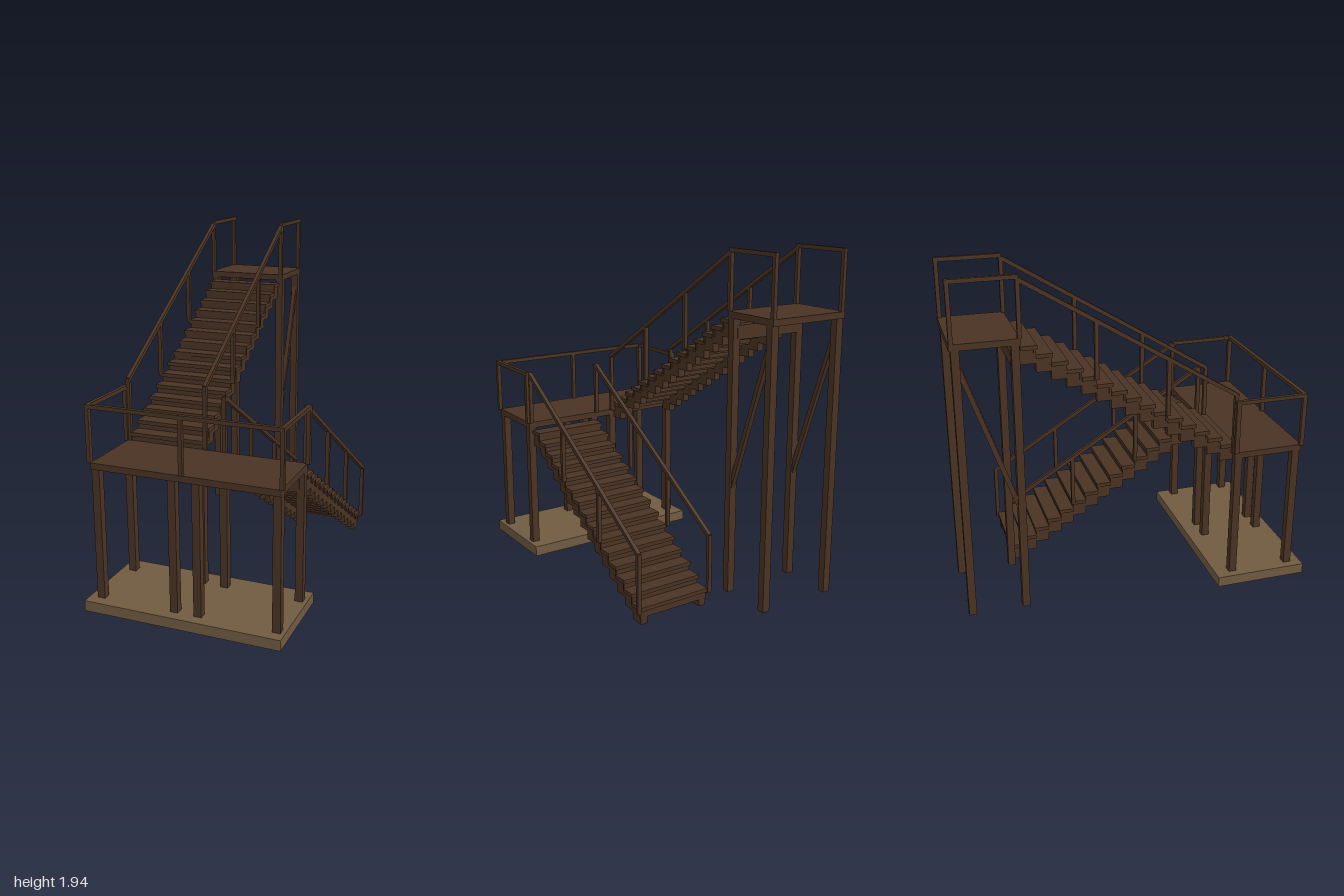
import * as THREE from 'three';

export function createModel() {
  const model = new THREE.Group();
  model.name = 'outdoorStairs';
  const wood = new THREE.MeshStandardMaterial({ color: 0x4a3323 });
  wood.name = 'dark wood';
  const slab = new THREE.MeshStandardMaterial({ color: 0x705b41 });
  slab.name = 'tan footing';

  // Box given by its extents along each axis
  function block(name, x0, x1, y0, y1, z0, z1, parent = model, mat = wood) {
    const mesh = new THREE.Mesh(new THREE.BoxGeometry(x1 - x0, y1 - y0, z1 - z0), mat);
    mesh.position.set((x0 + x1) / 2, (y0 + y1) / 2, (z0 + z1) / 2);
    mesh.name = name;
    parent.add(mesh);
    return mesh;
  }

  // Sloping bar in the y-z plane between two points [y, z]
  function bar(name, x, [ya, za], [yb, zb], t, parent = model) {
    const mesh = new THREE.Mesh(
      new THREE.BoxGeometry(t, t, Math.hypot(yb - ya, zb - za)), wood);
    mesh.position.set(x, (ya + yb) / 2, (za + zb) / 2);
    mesh.rotation.x = -Math.atan2(yb - ya, zb - za);
    mesh.name = name;
    parent.add(mesh);
  }

  const UPPER_X = -0.274, LOWER_X = 0.297;   // centre lines of the two flights
  const RISE = 0.0491, RUN = 0.079, STEPS = 15, TREAD = 0.022;

  // One flight: dir = +1 climbs towards +z, -1 towards -z
  function flight(name, cx, y0, z0, dir) {
    const g = new THREE.Group();
    g.name = name;
    const span = (label, xa, xb, ya, yb, za, zb) =>
      block(label, xa, xb, ya, yb, Math.min(za, zb), Math.max(za, zb), g);
    for (let k = 0; k < STEPS; k++) {
      const top = y0 + k * RISE, za = z0 + dir * k * RUN, zb = za + dir * RUN;
      span('tread', cx - 0.22, cx + 0.22, top - TREAD, top, za - dir * 0.008, zb);
      span('riser', cx - 0.215, cx + 0.215, top - RISE - TREAD / 2, top - TREAD, za, za + dir * 0.012);
      for (const s of [-1, 1]) {
        const xs = cx + s * 0.19;
        span('stringerBlock', xs - 0.02, xs + 0.02, top - 2 * RISE, top - TREAD, za, zb);
      }
    }
    // Header beam at the head of the flight
    const head = z0 + dir * STEPS * RUN, t = y0 + (STEPS - 1) * RISE;
    span('headerBeam', cx - 0.212, cx + 0.212, t - 2 * RISE, t - TREAD, head, head + dir * 0.05);
    model.add(g);
  }
  flight('lowerFlight', LOWER_X, 2 * RISE, -0.645, 1);
  flight('upperFlight', UPPER_X, 0.884, 0.54, -1);

  // Handrails with posts fixed outside the treads
  function handrail(name, cx, a, b, posts) {
    for (const s of [-1, 1]) {
      const g = new THREE.Group();
      g.name = name;
      const x = cx + s * 0.229;
      bar('handrailBar', x, a, b, 0.022, g);
      for (const [z, y0, y1] of posts)
        block('handrailPost', x - 0.011, x + 0.011, y0, y1, z - 0.011, z + 0.011, g);
      model.add(g);
    }
  }
  handrail('lowerHandrail', LOWER_X, [1.14, 0.535], [0.405, -0.652],
    [[0.535, 0.835, 1.145], [0.14, 0.575, 0.89], [-0.255, 0.335, 0.645], [-0.652, 0.07, 0.41]]);
  handrail('upperHandrail', UPPER_X, [1.185, 0.535], [1.92, -0.648],
    [[0.535, 0.835, 1.19], [0.14, 1.11, 1.43], [-0.255, 1.36, 1.67]]);

  // Footing and lower landing
  block('footing', -0.56, 0.56, 0, 0.06, 0.46, 1, model, slab);
  block('lowerLanding', -0.515, 0.537, 0.8, 0.836, 0.54, 0.948);
  for (const x of [-0.492, -0.056, 0.079, 0.515])
    for (const z of [0.565, 0.917])
      block('lowerLeg', x - 0.022, x + 0.022, 0.06, 0.8, z - 0.022, z + 0.022);

  // Lower landing guard rail on three sides
  const guard = new THREE.Group();
  guard.name = 'lowerGuardRail';
  model.add(guard);
  for (const x of [-0.52, 0.543]) {
    block('guardBar', x - 0.011, x + 0.011, 1.13, 1.152, 0.53, 0.955, guard);
    for (const z of [0.545, 0.942])
      block('guardPost', x - 0.011, x + 0.011, 0.836, 1.13, z - 0.013, z + 0.013, guard);
  }
  block('guardBar', -0.509, 0.532, 1.13, 1.152, 0.931, 0.955, guard);
  block('guardPost', -0.006, 0.016, 0.836, 1.13, 0.931, 0.955, guard);

  // Upper landing with legs, braces and side rails
  block('upperLanding', -0.515, -0.033, 1.587, 1.622, -1, -0.645);
  for (const s of [-1, 1]) {
    const legX = UPPER_X + s * 0.218, railX = UPPER_X + s * 0.229;
    for (const z of [-0.672, -0.97])
      block('upperLeg', legX - 0.022, legX + 0.022, 0.06, 1.587, z - 0.021, z + 0.021);
    bar('brace', legX, [0.67, -0.68], [1.51, -0.965], 0.026);
    for (const z of [-0.649, -0.987])
      block('upperRailPost', railX - 0.011, railX + 0.011, 1.622, 1.922, z - 0.011, z + 0.011);
    block('upperRailBar', railX - 0.011, railX + 0.011, 1.922, 1.944, -1, -0.645);
  }
  return model;
}
